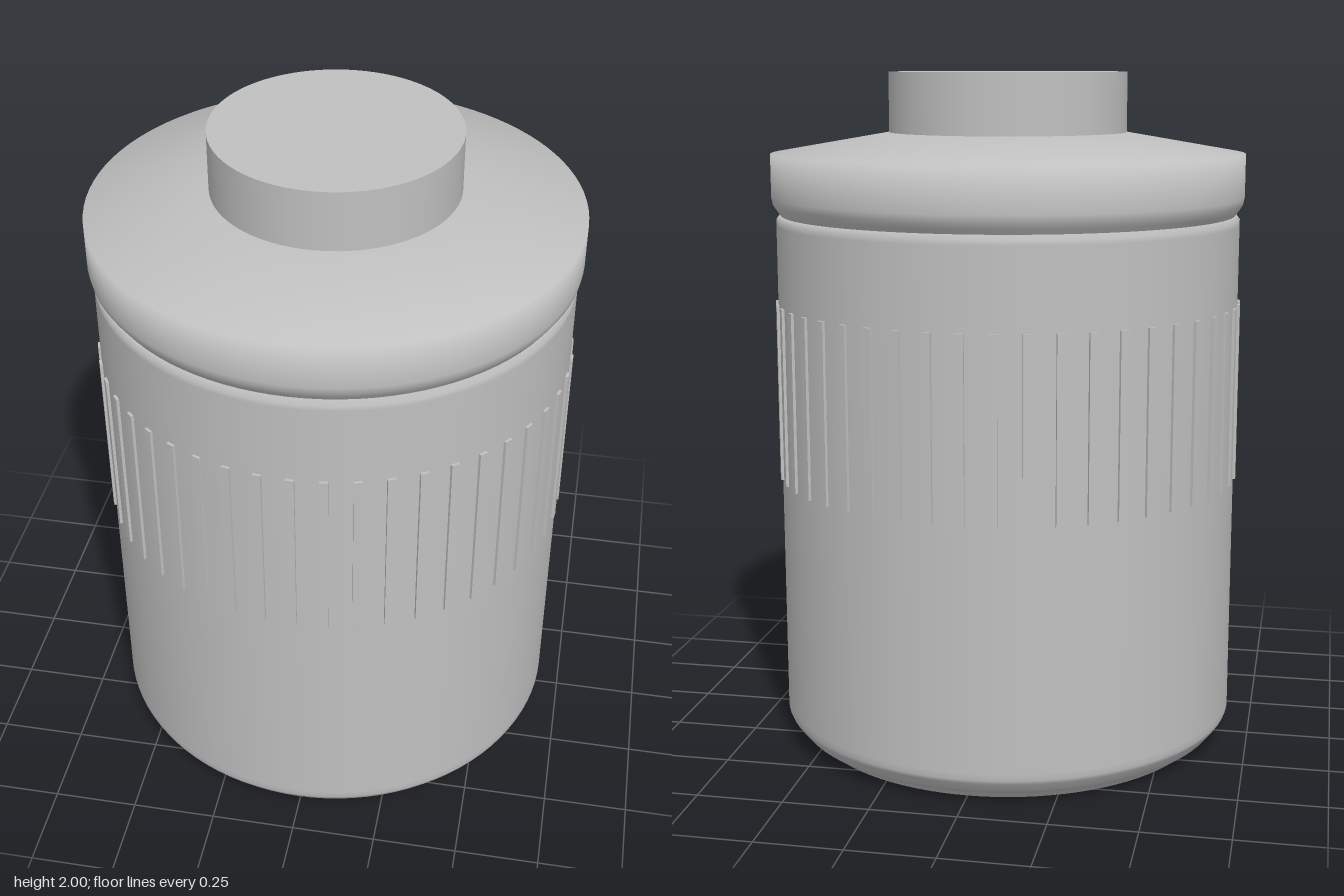
import * as THREE from 'three';

export function createModel() {
  const model = new THREE.Group();
  const grey = new THREE.MeshStandardMaterial({ color: 0xc0c0c0 });
  grey.name = 'grey';

  const add = (name, geometry, parent = model) => {
    const mesh = new THREE.Mesh(geometry, grey);
    mesh.name = name;
    parent.add(mesh);
    return mesh;
  };
  const turned = (points) =>
    new THREE.LatheGeometry(points.map(([r, y]) => new THREE.Vector2(r, y)), 96);

  // Foot: flat base with a chamfered rim
  add('base', new THREE.CylinderGeometry(0.645, 0.61, 0.035, 96)).position.y = 0.0175;

  // Straight body with softened bottom and top edges
  add('body', turned([
    [0, 0.03], [0.65, 0.03], [0.66, 0.042], [0.68, 0.068], [0.685, 0.08],
    [0.685, 0.1], [0.685, 1.56], [0.685, 1.575], [0.675, 1.588], [0, 1.588],
  ]));

  // Lid: flared lower lip, straight band and shallow sloping shoulder
  add('lid', turned([
    [0.67, 1.585], [0.682, 1.602], [0.694, 1.62], [0.698, 1.64],
    [0.698, 1.765], [0.34, 1.827], [0, 1.827],
  ]));

  // Round knob
  add('knob', new THREE.CylinderGeometry(0.35, 0.35, 0.174, 96)).position.y = 1.913;

  // Ring of upright grip ribs
  const ribs = new THREE.Group();
  ribs.name = 'gripRibs';
  model.add(ribs);
  const ribGeometry = new THREE.BoxGeometry(0.024, 0.525, 0.03);
  const count = 48;
  for (let i = 0; i < count; i++) {
    const angle = (i / count) * Math.PI * 2;
    const rib = add('gripRib', ribGeometry, ribs);
    rib.position.set(Math.sin(angle) * 0.678, 1.067, Math.cos(angle) * 0.678);
    rib.rotation.y = angle;
  }

  return model;
}
